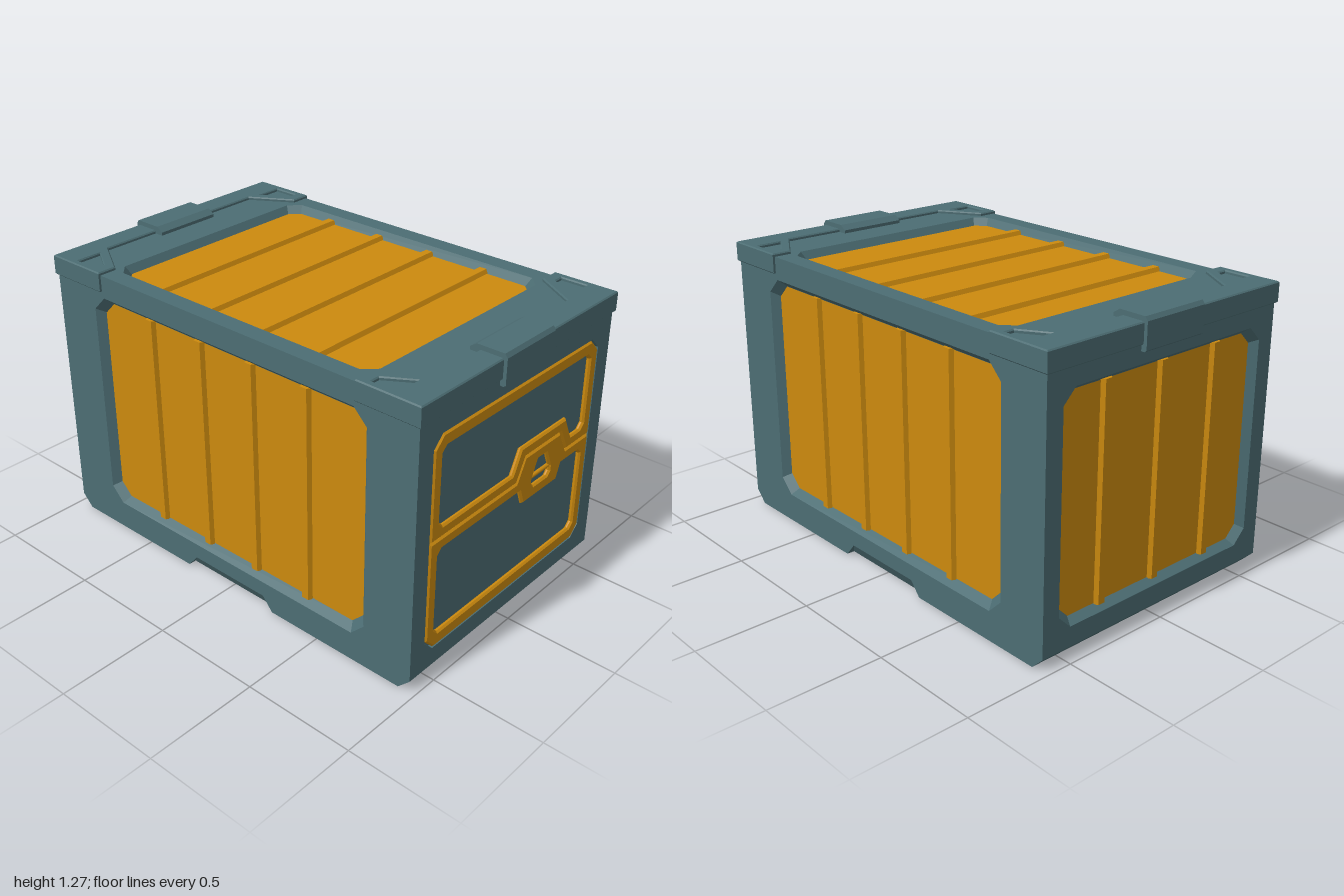
import * as THREE from 'three';

const teal = new THREE.MeshStandardMaterial({ color: 0x4c6d73 });
teal.name = 'slate teal';
const orange = new THREE.MeshStandardMaterial({ color: 0xcc8a0e });
orange.name = 'amber';

const toPath = (pts, Type = THREE.Shape) => new Type(pts.map(([x, y]) => new THREE.Vector2(x, y)));

// Extruded outline with optional holes; the bevel stays inside the outline
function slab(pts, holes, depth, bevel = 0) {
  const shape = toPath(pts);
  for (const h of holes) shape.holes.push(toPath(h, THREE.Path));
  const geo = new THREE.ExtrudeGeometry(shape, {
    depth: depth - 2 * bevel, bevelEnabled: bevel > 0, bevelSegments: 1,
    bevelThickness: bevel, bevelSize: bevel, bevelOffset: -bevel,
  });
  return geo.translate(0, 0, bevel);
}

// Rectangle with cut corners, counter-clockwise
const cutRect = (w, y0, y1, c) => [
  [-w + c, y0], [w - c, y0], [w, y0 + c], [w, y1 - c],
  [w - c, y1], [-w + c, y1], [-w, y1 - c], [-w, y0 + c],
];
const rect = (w, y0, y1) => [[-w, y0], [w, y0], [w, y1], [-w, y1]];

function add(parent, name, geo, mat) {
  const mesh = new THREE.Mesh(geo, mat);
  mesh.name = name;
  parent.add(mesh);
  return mesh;
}

// Flat four-sided faces, each given by its corners
function quads(list) {
  const pos = [];
  for (const [a, b, c, d] of list) pos.push(...a, ...b, ...c, ...a, ...c, ...d);
  const geo = new THREE.BufferGeometry();
  geo.setAttribute('position', new THREE.Float32BufferAttribute(pos, 3));
  geo.computeVertexNormals();
  return geo;
}

const DEPTH = 0.035;

// Wall with a sunken ribbed panel, facing local +z
function ribbedWall(name, outline, [w, y0, y1, c], inset, ribs, vertical) {
  const g = new THREE.Group();
  g.name = name;
  const outer = cutRect(w, y0, y1, c);
  const inner = cutRect(w - inset, y0 + inset, y1 - inset, c * 0.85);
  add(g, 'wallFrame', slab(outline, [outer], DEPTH).translate(0, 0, -DEPTH), teal);
  add(g, 'recessBevel', quads(outer.map((p, i) => {
    const j = (i + 1) % outer.length;
    return [[...p, 0], [...outer[j], 0], [...inner[j], -DEPTH], [...inner[i], -DEPTH]];
  })), teal);
  add(g, 'panel', new THREE.ShapeGeometry(toPath(inner)).translate(0, 0, -DEPTH + 0.002), orange);
  const length = (vertical ? y1 - y0 : 2 * w) - 2 * inset + 0.01;
  const mid = (y0 + y1) / 2;
  for (const r of ribs) {
    const geo = slab([[-0.026, 0], [0.026, 0], [0.016, 0.02], [-0.016, 0.02]], [], length);
    geo.rotateX(Math.PI / 2).translate(0, length / 2, 0);
    if (!vertical) geo.rotateZ(Math.PI / 2);
    const rib = add(g, 'rib', geo, orange);
    rib.position.set(vertical ? r : 0, vertical ? mid : r, -DEPTH);
  }
  return g;
}

export function createModel() {
  const model = new THREE.Group();
  model.name = 'storageCrate';

  // Core with chamfered lower edges
  const core = slab([
    [-0.92, 0], [0.92, 0], [0.975, 0.055], [0.975, 0.1], [0.955, 0.1], [0.955, 1.205],
    [-0.94, 1.205], [-0.94, 0.1], [-0.975, 0.1], [-0.975, 0.055],
  ], [], 1.17);
  add(model, 'core', core.rotateY(-Math.PI / 2).translate(0.585, 0, 0), teal);

  // Side walls with a grip notch at the bottom
  const sideOutline = [
    [-0.92, 0], [-0.25, 0], [-0.2, 0.06], [0.2, 0.06], [0.25, 0], [0.92, 0],
    [0.975, 0.055], [0.975, 1.24], [-0.975, 1.24], [-0.975, 0.055],
  ];
  for (const s of [1, -1]) {
    const side = ribbedWall(s > 0 ? 'leftWall' : 'rightWall', sideOutline,
      [0.745, 0.13, 1.14, 0.065], 0.03, [-0.425, -0.14, 0.14, 0.425], true);
    add(side, 'gripNotch', quads([[
      [-0.25, 0, -DEPTH], [0.25, 0, -DEPTH], [0.2, 0.06, 0], [-0.2, 0.06, 0],
    ]]), teal);
    side.rotation.y = s * Math.PI / 2;
    side.position.x = s * 0.62;
    model.add(side);
  }

  // Back wall and lid
  const back = ribbedWall('backWall', rect(0.585, 0.1, 1.205),
    [0.54, 0.14, 1.09, 0.06], 0.025, [-0.3, 0, 0.3], true);
  back.rotation.y = Math.PI;
  back.position.z = -0.975;
  const lid = ribbedWall('lid', rect(0.585, -0.975, 0.975),
    [0.54, -0.69, 0.69, 0.05], 0.023, [-0.41, -0.125, 0.155, 0.44], false);
  lid.rotation.x = -Math.PI / 2;
  lid.position.y = 1.24;
  model.add(back, lid);

  // Front plate around the two-part gate
  add(model, 'frontPlate', slab(rect(0.585, 0.1, 1.205), [cutRect(0.537, 0.136, 1.089, 0.05)], 0.02)
    .translate(0, 0, 0.955), teal);
  const gate = new THREE.Group();
  gate.name = 'frontGate';
  gate.position.z = 0.955;
  model.add(gate);

  const upperOutline = [
    [-0.533, 0.641], [0.012, 0.641], [0.063, 0.741], [0.312, 0.741], [0.363, 0.641], [0.533, 0.641],
    [0.533, 1.035], [0.483, 1.085], [-0.483, 1.085], [-0.533, 1.035],
  ];
  const upperWindow = [
    [-0.482, 0.71], [-0.46, 0.688], [-0.02, 0.688], [0.03, 0.79], [0.345, 0.79], [0.395, 0.688],
    [0.46, 0.688], [0.482, 0.71], [0.482, 1.008], [0.46, 1.03], [-0.46, 1.03], [-0.482, 1.008],
  ];
  // The raised middle of the upper frame forms its own arch above the latch
  upperWindow.splice(0, 12,
    [-0.482, 0.712], [-0.46, 0.69], [-0.02, 0.69], [0.03, 0.792], [0.345, 0.792], [0.395, 0.69],
    [0.46, 0.69], [0.482, 0.712], [0.482, 1.005], [0.46, 1.027], [-0.46, 1.027], [-0.482, 1.005]);
  const lowerOutline = [
    [-0.533, 0.19], [-0.483, 0.14], [0.483, 0.14], [0.533, 0.19], [0.533, 0.639], [0.363, 0.639],
    [0.312, 0.739], [0.063, 0.739], [0.012, 0.639], [-0.533, 0.639],
  ];
  const lowerWindow = [
    [-0.482, 0.222], [-0.46, 0.2], [0.46, 0.2], [0.482, 0.222], [0.482, 0.566], [0.46, 0.588],
    [0.335, 0.588], [0.31, 0.52], [0.068, 0.52], [0.042, 0.588], [-0.46, 0.588], [-0.482, 0.566],
  ];
  const latchHole = [
    [0.125, 0.59], [0.14, 0.573], [0.235, 0.573], [0.25, 0.59],
    [0.25, 0.612], [0.217, 0.688], [0.158, 0.688], [0.125, 0.612],
  ];
  add(gate, 'upperGateFrame', slab(upperOutline, [upperWindow], 0.023, 0.008), orange);
  add(gate, 'lowerGateFrame', slab(lowerOutline, [lowerWindow, latchHole], 0.023, 0.008), orange);
  const bar = add(gate, 'latchBar', new THREE.CylinderGeometry(0.009, 0.009, 0.126, 8), orange);
  bar.rotation.z = Math.PI / 2;
  bar.position.set(0.1875, 0.612, 0.01);

  // End caps on the lid, each with corner pockets and a clip
  const capOutline = [
    [-0.63, 0.69], [-0.54, 0.69], [-0.425, 0.877], [0.425, 0.877], [0.54, 0.69],
    [0.63, 0.69], [0.63, 0.985], [-0.63, 0.985],
  ];
  const pocket = [[0.598, 0.858], [0.485, 0.858], [0.558, 0.742], [0.598, 0.742]];
  const mirrored = pocket.map(([x, z]) => [-x, z]);
  const clipProfile = [
    [0.96, 1.143], [0.99, 1.14], [1, 1.148], [1, 1.258], [0.988, 1.274],
    [0.865, 1.274], [0.835, 1.254], [0.835, 1.23], [0.96, 1.23],
  ];
  for (const front of [true, false]) {
    const end = new THREE.Group();
    end.name = front ? 'frontCap' : 'backCap';
    add(end, 'cap', slab(capOutline, [pocket, mirrored], 0.088, 0.005)
      .rotateX(Math.PI / 2).translate(0, 1.254, 0), teal);
    add(end, 'clip', slab(clipProfile, [], 0.312)
      .rotateY(-Math.PI / 2).translate(0.156, 0, 0), teal);
    if (!front) end.rotation.y = Math.PI;
    model.add(end);
  }
  return model;
}
